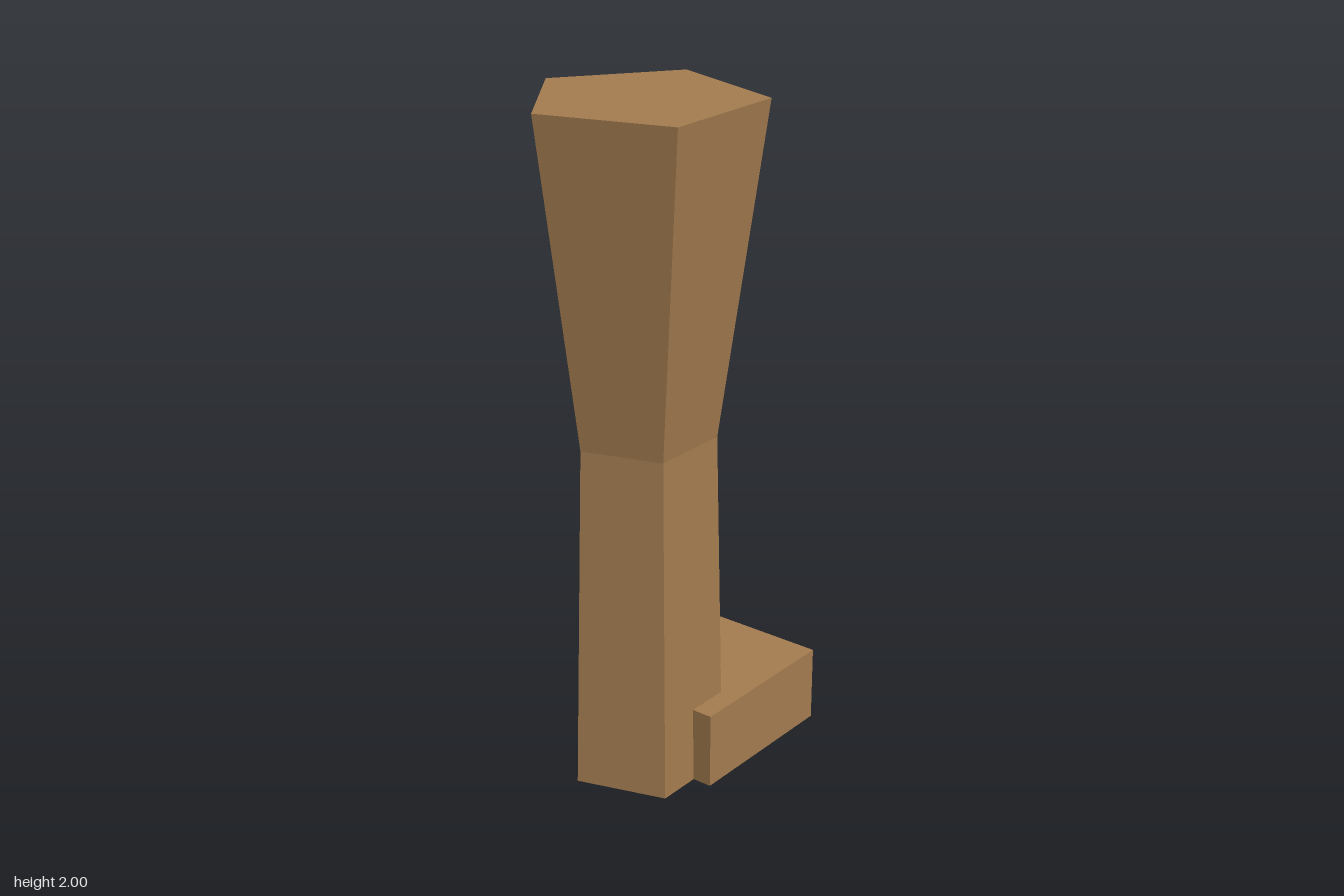
import * as THREE from 'three';

export function createModel() {
  const model = new THREE.Group();
  const wood = new THREE.MeshStandardMaterial({
    color: 0xa57d50, flatShading: true, side: THREE.DoubleSide,
  });

  // Five-sided waisted column, closed on top and open below
  const profile = [[0.232, 0], [0.206, 1.04], [0.337, 2], [0, 2]]
    .map(([r, y]) => new THREE.Vector2(r, y));
  const column = new THREE.Mesh(new THREE.LatheGeometry(profile, 5, -Math.PI / 2), wood);
  column.name = 'column';
  column.position.set(0.031, 0, 0.098);
  model.add(column);

  // Rear foot block: a box whose underside (fourth face) is left open
  const box = new THREE.BoxGeometry(0.493, 0.23, 0.515);
  const index = Array.from(box.index.array);
  index.splice(18, 6);
  box.setIndex(index);
  box.clearGroups();
  const foot = new THREE.Mesh(box, wood);
  foot.name = 'footBlock';
  foot.position.set(0.0315, 0.115, -0.1575);
  model.add(foot);

  return model;
}
